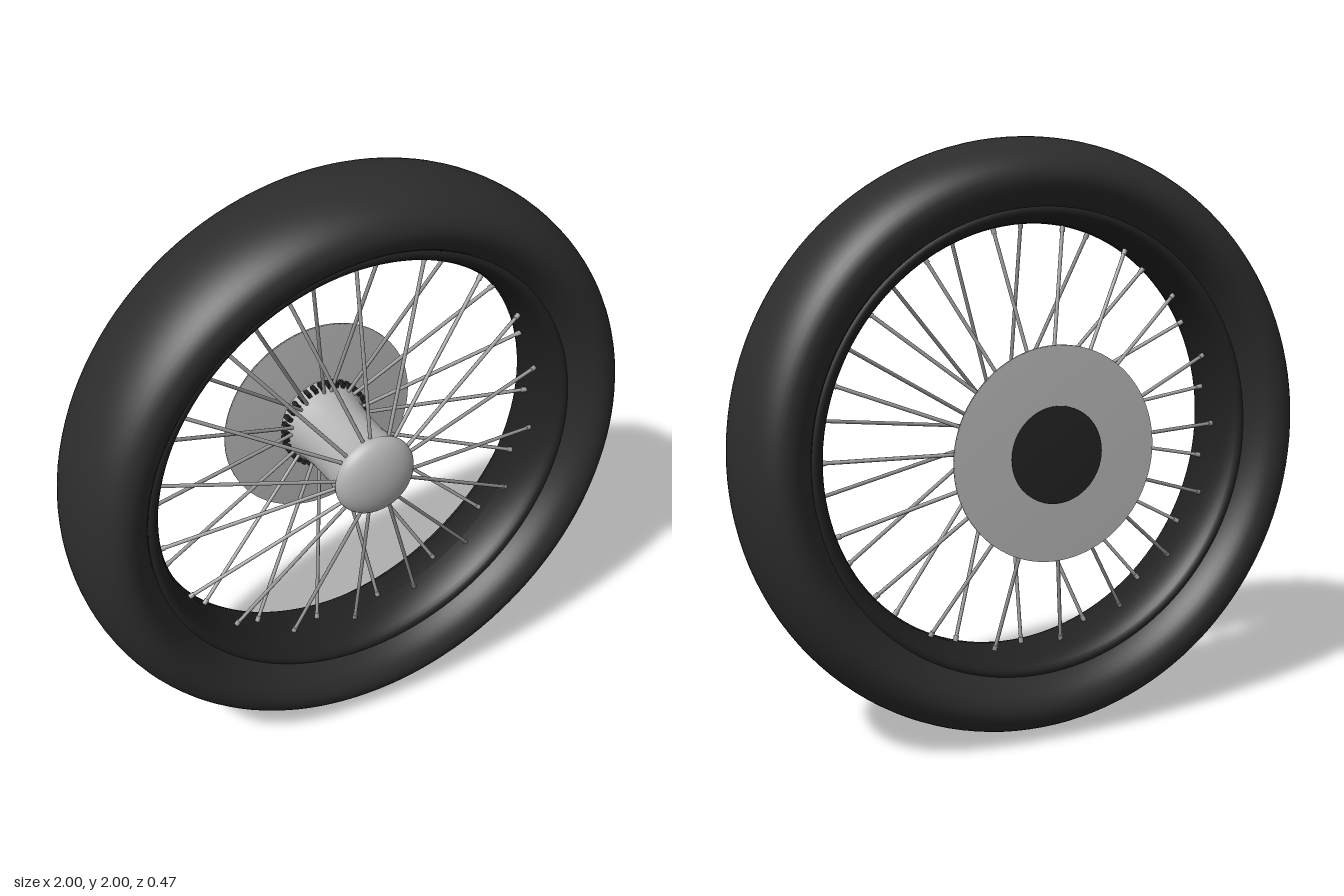
import * as THREE from 'three';

const rubber = new THREE.MeshStandardMaterial({ name: 'tyre black', color: 0x2c2c2c });
const dark = new THREE.MeshStandardMaterial({ name: 'rim black', color: 0x222222 });
const metal = new THREE.MeshStandardMaterial({ name: 'hub silver', color: 0xb4b4b4 });
const wire = new THREE.MeshStandardMaterial({ name: 'spoke grey', color: 0x9c9c9c });

const MID = 0.01; // z of the tyre centre plane
const SPOKES = 36;

// Revolve a [radius, z] profile around the axle (z axis)
function revolve(name, profile, material, segments = 96) {
  const geometry = new THREE.LatheGeometry(profile.map(([r, z]) => new THREE.Vector2(r, z)), segments);
  geometry.rotateX(Math.PI / 2);
  const mesh = new THREE.Mesh(geometry, material);
  mesh.name = name;
  return mesh;
}

// Closed elliptical cross-section, starting at its innermost point
function ellipse(r, z, a, b, steps) {
  return Array.from({ length: steps + 1 }, (_, i) => {
    const t = Math.PI + (i / steps) * Math.PI * 2;
    return [r + a * Math.cos(t), z + b * Math.sin(t)];
  });
}

// Straight rod between two points
function rod(name, from, to, radius, material, sides = 8) {
  const span = to.clone().sub(from);
  const mesh = new THREE.Mesh(new THREE.CylinderGeometry(radius, radius, span.length(), sides), material);
  mesh.position.copy(from).addScaledVector(span, 0.5);
  mesh.quaternion.setFromUnitVectors(new THREE.Vector3(0, 1, 0), span.normalize());
  mesh.name = name;
  return mesh;
}

const polar = (r, angle, z) => new THREE.Vector3(r * Math.sin(angle), r * Math.cos(angle), z);

export function createModel() {
  const model = new THREE.Group();
  model.name = 'wheel';
  const wheel = new THREE.Group();
  wheel.name = 'wheelAssembly';
  wheel.position.y = 1;
  model.add(wheel);

  // Tyre and the rim set into its inner side
  wheel.add(revolve('tyre', ellipse(0.88, MID, 0.12, 0.225, 48), rubber, 128));
  wheel.add(revolve('rim', ellipse(0.772, MID, 0.05, 0.14, 32), dark, 128));

  // Hub barrel, waisted between the two flanges
  wheel.add(revolve('hubBarrel', [
    [0.15, -0.21], [0.15, -0.17], [0.135, -0.14], [0.125, -0.06],
    [0.125, 0.06], [0.135, 0.13], [0.145, 0.17],
  ], metal, 64));

  // Rounded front cap
  const dome = [];
  for (let i = 0; i <= 10; i++) {
    const t = (i / 10) * Math.PI / 2;
    dome.push([0.145 * Math.cos(t), 0.165 + 0.065 * Math.sin(t)]);
  }
  wheel.add(revolve('hubDome', dome, metal, 64));

  // Brake disc and axle cover on the back
  wheel.add(revolve('brakeDisc', [[0, -0.23], [0.355, -0.23], [0.355, -0.217], [0, -0.205]], metal));
  wheel.add(revolve('axleCover', [[0, -0.238], [0.16, -0.238], [0.16, -0.229]], dark, 64));

  // Spokes alternate between the front and rear flange, with a nipple at the rim
  const spokes = new THREE.Group();
  spokes.name = 'spokes';
  for (let i = 0; i < SPOKES; i++) {
    const angle = (i / SPOKES) * Math.PI * 2;
    const front = i % 2 === 0;
    const lean = (i % 4 < 2 ? -1 : 1) * 0.08;
    const hubEnd = polar(0.138, angle + lean, front ? 0.155 : -0.155);
    const rimEnd = polar(0.735, angle, MID + (front ? 0.025 : -0.025));
    spokes.add(rod('spoke', hubEnd, rimEnd, 0.0065, wire));
    spokes.add(rod('spokeNipple', hubEnd.clone().lerp(rimEnd, 0.95), rimEnd, 0.009, wire));
  }
  wheel.add(spokes);

  // Ring of dark teeth around the rear flange
  const teeth = new THREE.Group();
  teeth.name = 'flangeTeeth';
  for (let i = 0; i < SPOKES; i++) {
    const angle = ((i + 0.5) / SPOKES) * Math.PI * 2;
    const tooth = new THREE.Mesh(new THREE.BoxGeometry(0.014, 0.022, 0.03), dark);
    tooth.position.copy(polar(0.152, angle, -0.175));
    tooth.rotation.z = -angle;
    tooth.name = 'flangeTooth';
    teeth.add(tooth);
  }
  wheel.add(teeth);

  return model;
}
